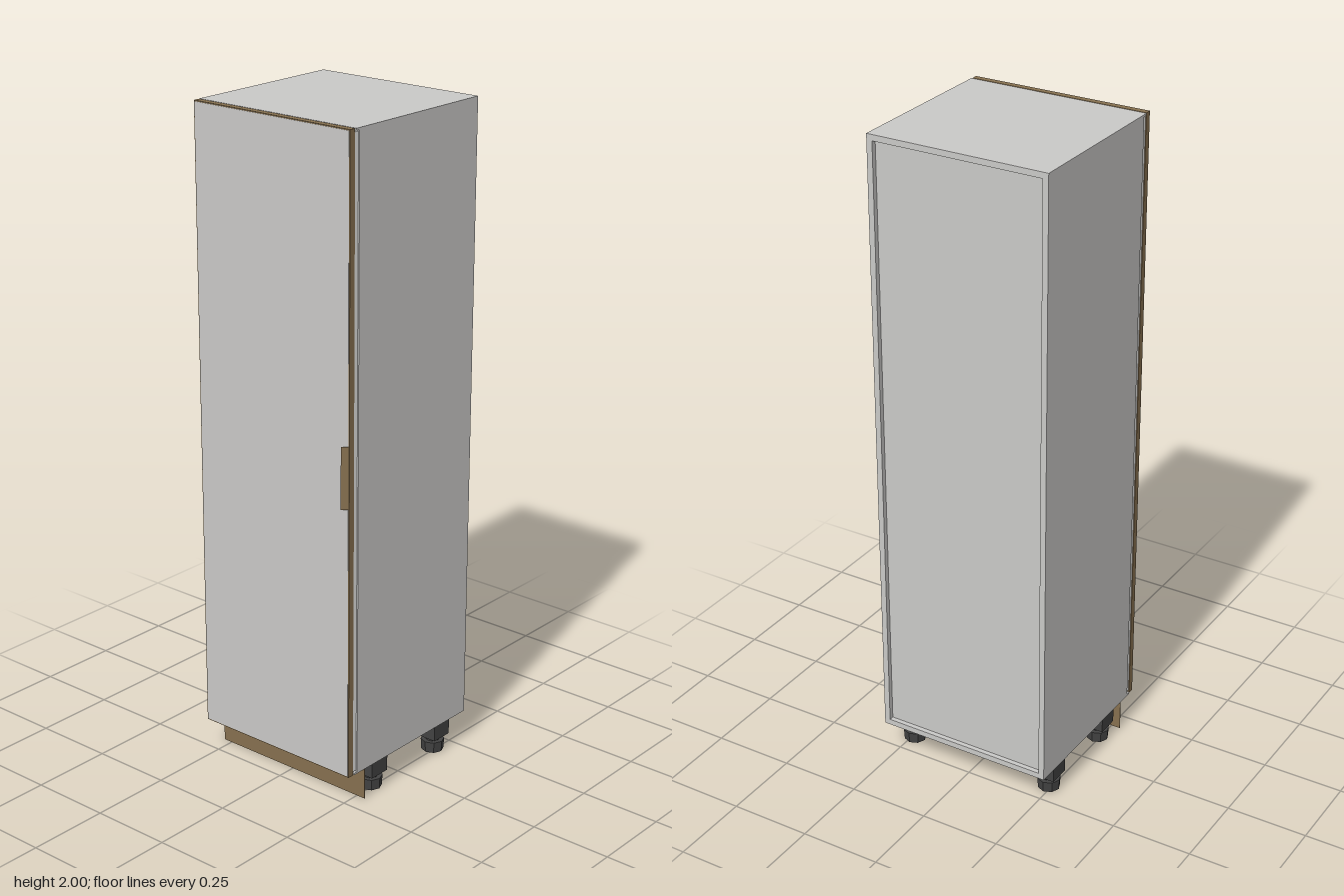
import * as THREE from 'three';

const mat = (name, color, side = THREE.FrontSide) => {
  const m = new THREE.MeshStandardMaterial({ color, side });
  m.name = name;
  return m;
};

export function createModel() {
  const grey = mat('pale grey laminate', 0xcac9c7);
  const brown = mat('brown wood', 0x86704f, THREE.DoubleSide);
  const white = mat('white seal', 0xf0f0ee);
  const dark = mat('dark plastic', 0x424242);
  dark.flatShading = true;

  const model = new THREE.Group();
  model.name = 'tallCabinet';

  // Box given by its minimum and maximum corners
  const box = (name, material, [x0, y0, z0], [x1, y1, z1], parent = model) => {
    const mesh = new THREE.Mesh(new THREE.BoxGeometry(x1 - x0, y1 - y0, z1 - z0), material);
    mesh.position.set((x0 + x1) / 2, (y0 + y1) / 2, (z0 + z1) / 2);
    mesh.name = name;
    parent.add(mesh);
    return mesh;
  };

  // Carcass panels, with the back panel set in from the rear edges
  const W = 0.281, T = 0.018, B = 0.1, H = 2, back = -0.282, front = 0.228;
  const carcass = new THREE.Group();
  carcass.name = 'carcass';
  model.add(carcass);
  box('rightSide', grey, [-W, B, back], [-W + T, H, front], carcass);
  box('leftSide', grey, [W - T, B, back], [W, H, front], carcass);
  box('topPanel', grey, [-W + T, H - T, back], [W - T, H, front], carcass);
  box('bottomPanel', grey, [-W + T, B, back], [W - T, B + T, front], carcass);
  box('backPanel', grey, [-W + T, B + T, back + 0.015], [W - T, H - T, back + 0.023], carcass);
  box('topFrontEdge', grey, [-W, H - 0.006, front], [W, H, 0.241], carcass);
  box('bottomFrontEdge', grey, [-W, B, front], [W, B + 0.006, 0.241], carcass);

  // Seal between the carcass and the door
  const seal = new THREE.Group();
  seal.name = 'doorSeal';
  model.add(seal);
  for (const s of [-1, 1]) {
    const a = s * 0.262, b = s * 0.277;
    box('sealSide', white, [Math.min(a, b), 0.11, front], [Math.max(a, b), 1.99, 0.244], seal);
  }
  box('sealTop', white, [-0.262, 1.975, front], [0.262, 1.99, 0.244], seal);
  box('sealBottom', white, [-0.262, 0.11, front], [0.262, 0.125, 0.244], seal);

  // Door with brown edges and a grey front face
  box('doorEdge', brown, [-0.279, B, 0.244], [0.279, H, 0.264], model);
  box('doorFace', grey, [-0.276, B + 0.003, 0.262], [0.276, H - 0.003, 0.265], model);

  // Slanted grip plate at the door's edge
  const x0 = 0.279, z0 = 0.265, x1 = 0.261, z1 = 0.279;
  const handle = new THREE.Mesh(
    new THREE.BoxGeometry(Math.hypot(x1 - x0, z1 - z0), 0.185, 0.002), brown);
  handle.position.set((x0 + x1) / 2, 1.03, (z0 + z1) / 2);
  handle.rotation.y = Math.atan2(z1 - z0, x0 - x1);
  handle.name = 'handle';
  model.add(handle);

  // Kick plate
  box('kickPlate', brown, [-0.279, 0, 0.189], [0.279, B, 0.191]);

  // Four adjustable feet: square socket, neck and hexagonal pad
  for (const x of [-0.24, 0.24]) for (const z of [-0.18, 0.117]) {
    const foot = new THREE.Group();
    foot.name = 'foot';
    foot.position.set(x, 0, z);
    const part = (name, geometry, y) => {
      const mesh = new THREE.Mesh(geometry, dark);
      mesh.position.y = y;
      mesh.name = name;
      foot.add(mesh);
    };
    part('socket', new THREE.BoxGeometry(0.07, 0.052, 0.07), 0.074);
    part('neck', new THREE.CylinderGeometry(0.021, 0.021, 0.02, 12), 0.04);
    part('pad', new THREE.CylinderGeometry(0.036, 0.034, 0.034, 8), 0.017);
    model.add(foot);
  }
  return model;
}
